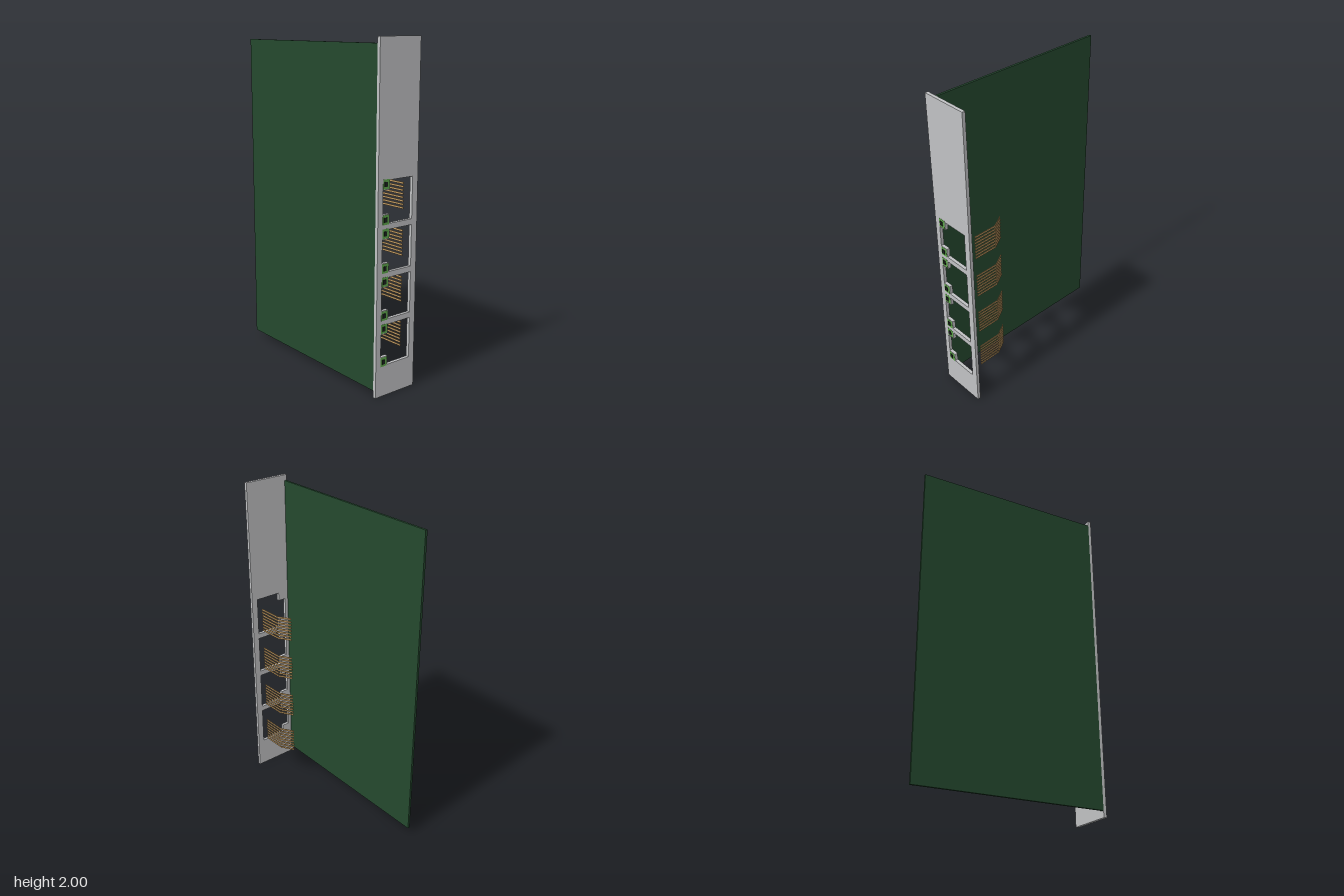
import * as THREE from 'three';

const mat = (name, color) => {
  const m = new THREE.MeshStandardMaterial({ color });
  m.name = name;
  return m;
};

export function createModel() {
  const steel = mat('bracket grey', 0xc0c1c3);
  const green = mat('board green', 0x24482e);
  const lightGreen = mat('indicator green', 0x5fa84c);
  const black = mat('indicator black', 0x1a221c);
  const gold = mat('contact gold', 0xc39c62);

  const model = new THREE.Group();
  model.name = 'networkCard';

  // box given by its limits on each axis
  const box = (name, material, [x0, x1], [y0, y1], [z0, z1], parent = model) => {
    const mesh = new THREE.Mesh(new THREE.BoxGeometry(x1 - x0, y1 - y0, z1 - z0), material);
    mesh.position.set((x0 + x1) / 2, (y0 + y1) / 2, (z0 + z1) / 2);
    mesh.name = name;
    parent.add(mesh);
    return mesh;
  };

  // circuit board
  box('circuitBoard', green, [-0.147, -0.133], [0.04, 1.965], [-0.605, 0.58]);

  // front bracket with four port openings, notched where the indicators sit
  const plate = new THREE.Shape([[-0.147, 0], [0.145, 0], [0.145, 2], [-0.147, 2]]
    .map(([x, y]) => new THREE.Vector2(x, y)));
  const portBottoms = [0, 1, 2, 3].map((i) => 0.185 + i * 0.2735);
  const portHeight = 0.24;
  const left = -0.112, right = 0.105, notchX = -0.062, notchY = 0.053;
  for (const b of portBottoms) {
    const t = b + portHeight;
    plate.holes.push(new THREE.Path([
      [notchX, b], [notchX, b + notchY], [left, b + notchY], [left, t - notchY],
      [notchX, t - notchY], [notchX, t], [right, t], [right, b],
    ].map(([x, y]) => new THREE.Vector2(x, y))));
  }
  const bracket = new THREE.Mesh(
    new THREE.ExtrudeGeometry(plate, { depth: 0.02, bevelEnabled: false }), steel);
  bracket.position.z = 0.58;
  bracket.name = 'bracket';
  model.add(bracket);

  // bent contact path in (x, z), shared by every pin
  const bend = [[0.105, 0.53], [0.101, 0.38], [0.053, 0.3]];
  const segments = [0, 1].map((i) => {
    const [ax, az] = bend[i], [bx, bz] = bend[i + 1];
    const geometry = new THREE.BoxGeometry(0.004, 0.011, Math.hypot(bx - ax, bz - az));
    geometry.rotateY(Math.atan2(bx - ax, bz - az));
    geometry.translate((ax + bx) / 2, 0, (az + bz) / 2);
    return geometry;
  });

  portBottoms.forEach((b, i) => {
    const port = new THREE.Group();
    port.name = `port${i + 1}`;
    model.add(port);

    // eight spring contacts
    for (let k = 0; k < 8; k++) {
      const pin = new THREE.Group();
      pin.name = 'contactPin';
      pin.position.y = b + 0.048 + k * 0.0203;
      for (const geometry of segments) pin.add(new THREE.Mesh(geometry, gold));
      port.add(pin);
    }

    // indicator lights at the lower and upper corner
    for (const y of [b + 0.022, b + portHeight - 0.021]) {
      box('indicatorFrame', lightGreen, [-0.112, -0.066], [y - 0.027, y + 0.027], [0.599, 0.601], port);
      box('indicatorLens', black, [-0.103, -0.082], [y - 0.013, y + 0.013], [0.6, 0.605], port);
    }
  });

  return model;
}
